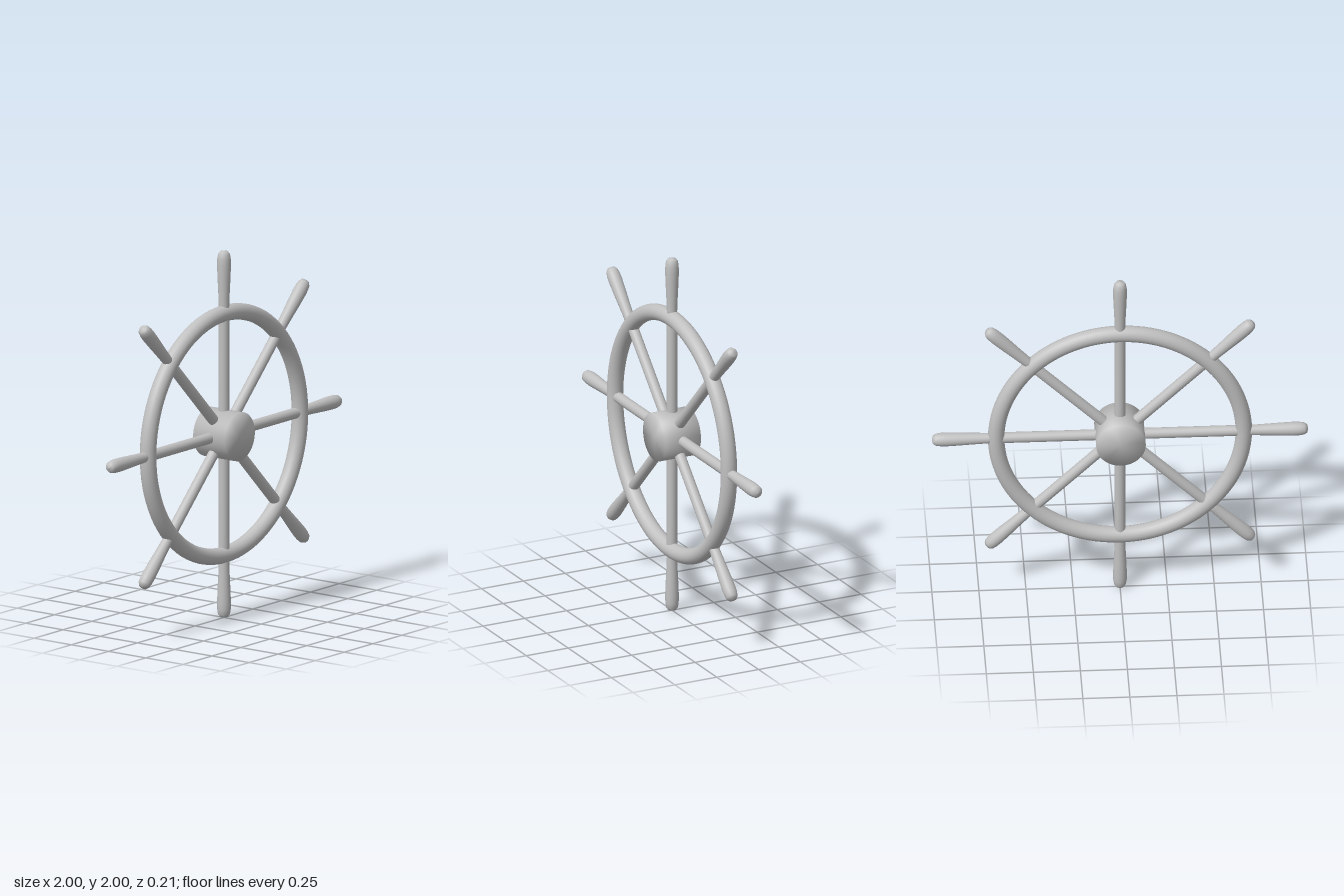
import * as THREE from 'three';

// Turns [radius, height] pairs into a smooth solid of revolution around y
function lathe(pairs, segments) {
  return new THREE.LatheGeometry(pairs.map(([r, h]) => new THREE.Vector2(r, h)), segments);
}

export function createModel() {
  const grey = new THREE.MeshStandardMaterial({ color: 0xc0c0c0 });
  grey.name = 'plain grey';

  const wheel = new THREE.Group();
  wheel.name = 'shipWheel';
  wheel.position.y = 1;

  const add = (parent, geometry, name) => {
    const mesh = new THREE.Mesh(geometry, grey);
    mesh.name = name;
    parent.add(mesh);
    return mesh;
  };

  // Round rim
  add(wheel, new THREE.TorusGeometry(0.658, 0.044, 20, 96), 'rim');

  // Drum hub along z, with normals blended softly over its edges
  const hubShape = lathe([[0, -0.105], [0.132, -0.105], [0.132, 0.105], [0, 0.105]], 40);
  hubShape.rotateX(Math.PI / 2);
  add(wheel, hubShape, 'hub');

  // Eight spokes, each ending in a swelling handgrip
  const spokeShape = new THREE.CylinderGeometry(0.029, 0.029, 0.57, 20, 1, true);
  spokeShape.translate(0, 0.375, 0);
  const gripShape = lathe([
    [0, 0.66], [0.028, 0.66], [0.028, 0.7], [0.031, 0.78], [0.035, 0.86], [0.037, 0.92],
    [0.036, 0.955], [0.032, 0.98], [0.022, 0.995], [0, 1],
  ], 20);
  for (let i = 0; i < 8; i++) {
    const arm = new THREE.Group();
    arm.name = 'arm' + (i + 1);
    arm.rotation.z = (i * Math.PI) / 4;
    add(arm, spokeShape, 'spoke');
    add(arm, gripShape, 'handgrip');
    wheel.add(arm);
  }

  const model = new THREE.Group();
  model.name = 'model';
  model.add(wheel);
  return model;
}
